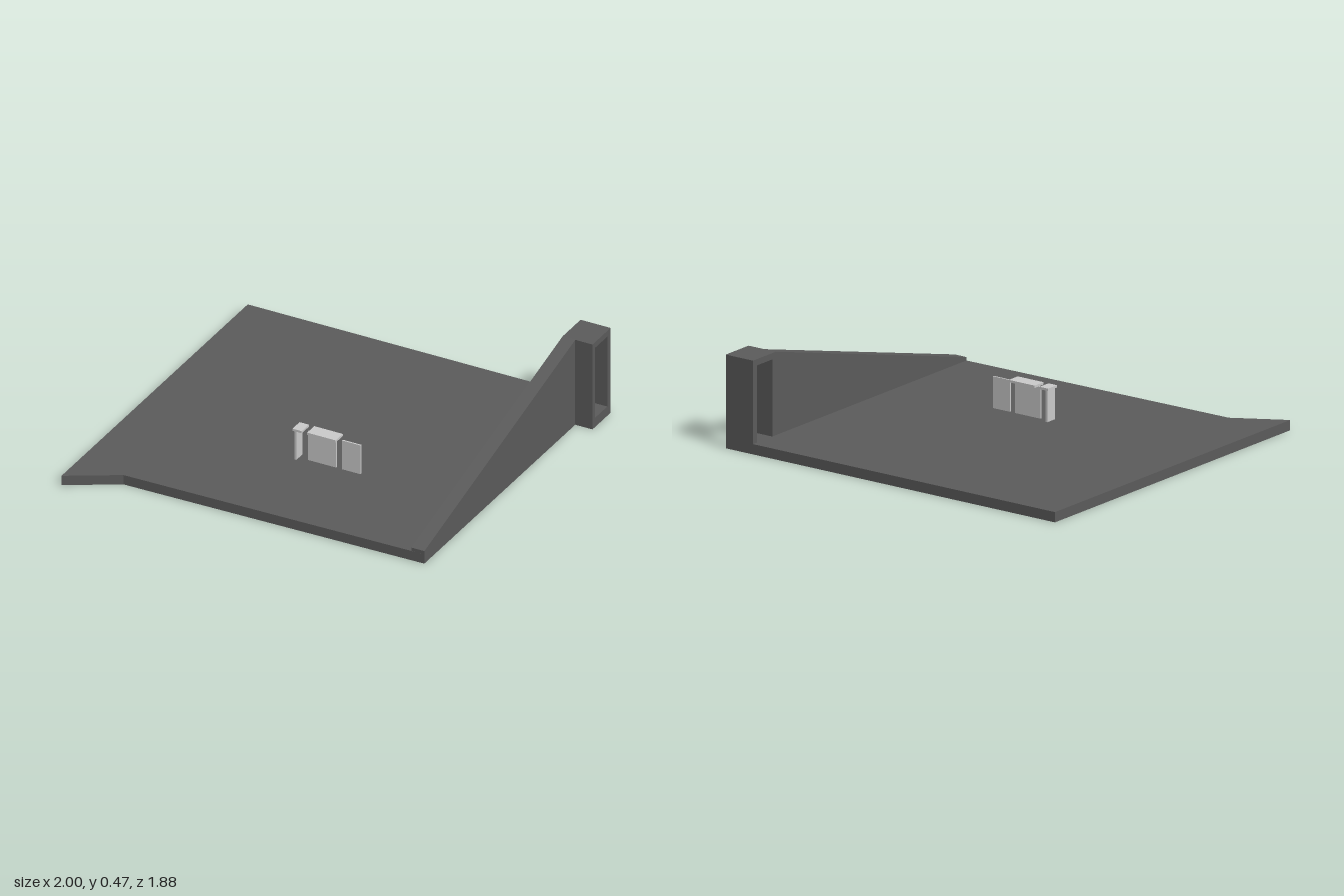
import * as THREE from 'three';

const dark = new THREE.MeshStandardMaterial({ color: 0x5c5c5c, flatShading: true });
const light = new THREE.MeshStandardMaterial({ color: 0xcccccc, flatShading: true });

const outline = pts => new THREE.Shape(pts.map(([x, y]) => new THREE.Vector2(x, y)));

// Box given by its minimum and maximum on each axis
function box(name, [x0, x1], [y0, y1], [z0, z1], material = light) {
  const mesh = new THREE.Mesh(new THREE.BoxGeometry(x1 - x0, y1 - y0, z1 - z0), material);
  mesh.name = name;
  mesh.position.set((x0 + x1) / 2, (y0 + y1) / 2, (z0 + z1) / 2);
  return mesh;
}

// Side profile drawn as (-z, y) and extruded from x0 to x1
function sideProfile(name, shape, x0, x1) {
  const geo = new THREE.ExtrudeGeometry(shape, { depth: x1 - x0, bevelEnabled: false });
  geo.rotateY(Math.PI / 2).translate(x0, 0, 0);
  const mesh = new THREE.Mesh(geo, dark);
  mesh.name = name;
  return mesh;
}

export function createModel() {
  const model = new THREE.Group();
  model.name = 'roomSection';

  // Floor slab, drawn as (x, -z)
  const floorShape = outline([
    [-1, -0.94], [-0.74, -0.79], [0.905, -0.765], [0.905, 0.762],
    [1, 0.762], [1, 0.945], [-1, 0.945],
  ]);
  const floorGeo = new THREE.ExtrudeGeometry(floorShape, { depth: 0.052, bevelEnabled: false });
  floorGeo.rotateX(-Math.PI / 2);
  const floor = new THREE.Mesh(floorGeo, dark);
  floor.name = 'floor';
  model.add(floor);

  // Sloping side wall
  model.add(sideProfile('slopingWall', outline([
    [-0.765, 0], [0.762, 0], [0.762, 0.475], [-0.765, 0.07],
  ]), 0.835, 0.905));

  // Doorway block with its opening
  const doorway = outline([[0.762, 0], [0.945, 0], [0.945, 0.475], [0.762, 0.475]]);
  doorway.holes.push(outline([[0.79, 0.052], [0.79, 0.443], [0.912, 0.443], [0.912, 0.052]]));
  model.add(sideProfile('doorway', doorway, 0.835, 1));

  // Small upright panels, two of them with flat caps
  const height = [0.052, 0.213], capHeight = [0.213, 0.225];
  const thin = [0.226, 0.234], deep = [0.195, 0.267];
  const panels = new THREE.Group();
  panels.name = 'panels';
  panels.add(
    box('crossPanel', [-0.085, -0.075], height, [0.2, 0.262]),
    box('crossPanelCap', [-0.093, -0.042], capHeight, deep),
    box('middlePanel', [-0.025, 0.13], height, thin),
    box('middlePanelCap', [-0.012, 0.145], capHeight, deep),
    box('endPanel', [0.162, 0.264], height, thin),
  );
  model.add(panels);
  return model;
}
